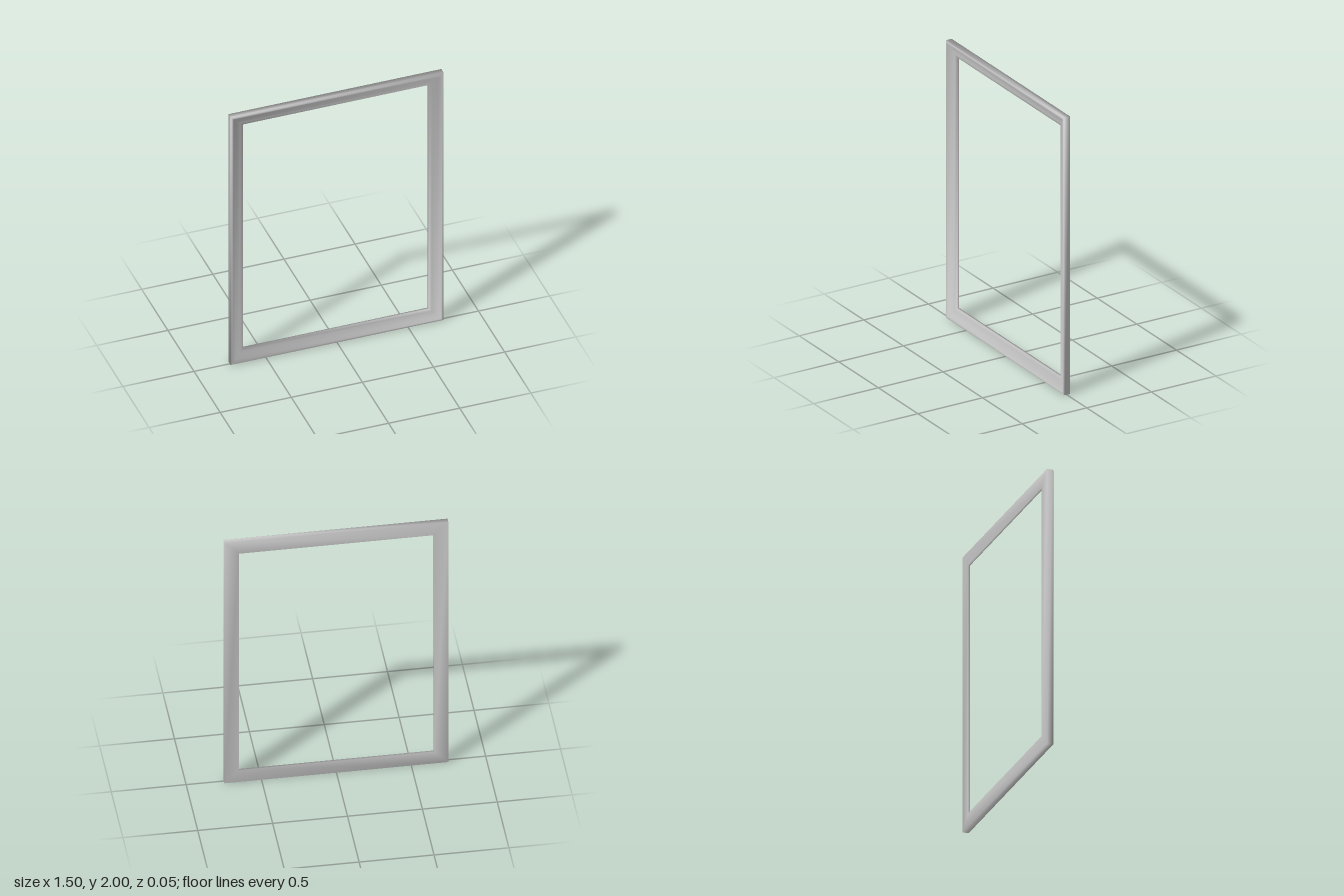
import * as THREE from 'three';

// Moulding cross-section: [distance in from the outer edge, z]
const PROFILE = [
  [0, -0.025], [0, 0.015], [0.004, 0.021], [0.011, 0.025], [0.018, 0.023],
  [0.035, 0.012], [0.055, 0.002], [0.075, -0.005], [0.096, -0.009], [0.096, -0.025],
];
const HALF_WIDTH = 0.748;
const HALF_HEIGHT = 1;

// Sweeps the section around the four mitred corners, sharing vertices for soft shading
function mitredFrame(profile, halfW, halfH) {
  const corners = [[1, -1], [1, 1], [-1, 1], [-1, -1]];
  const n = profile.length;
  const positions = [];
  const index = [];
  corners.forEach(([sx, sy], c) => {
    const next = (c + 1) % corners.length;
    profile.forEach(([inset, z], i) => {
      positions.push(sx * (halfW - inset), halfH + sy * (halfH - inset), z);
      const j = (i + 1) % n;
      const a = c * n + i, b = next * n + i, d = c * n + j, e = next * n + j;
      index.push(a, b, d, b, e, d);
    });
  });
  const geometry = new THREE.BufferGeometry();
  geometry.setAttribute('position', new THREE.Float32BufferAttribute(positions, 3));
  geometry.setIndex(index);
  geometry.computeVertexNormals();
  return geometry;
}

export function createModel() {
  const group = new THREE.Group();
  group.name = 'pictureFrame';

  // Open rectangular moulding
  const frame = new THREE.Mesh(
    mitredFrame(PROFILE, HALF_WIDTH, HALF_HEIGHT),
    new THREE.MeshStandardMaterial({ color: 0xcccccc })
  );
  frame.name = 'frameMoulding';
  group.add(frame);
  return group;
}
